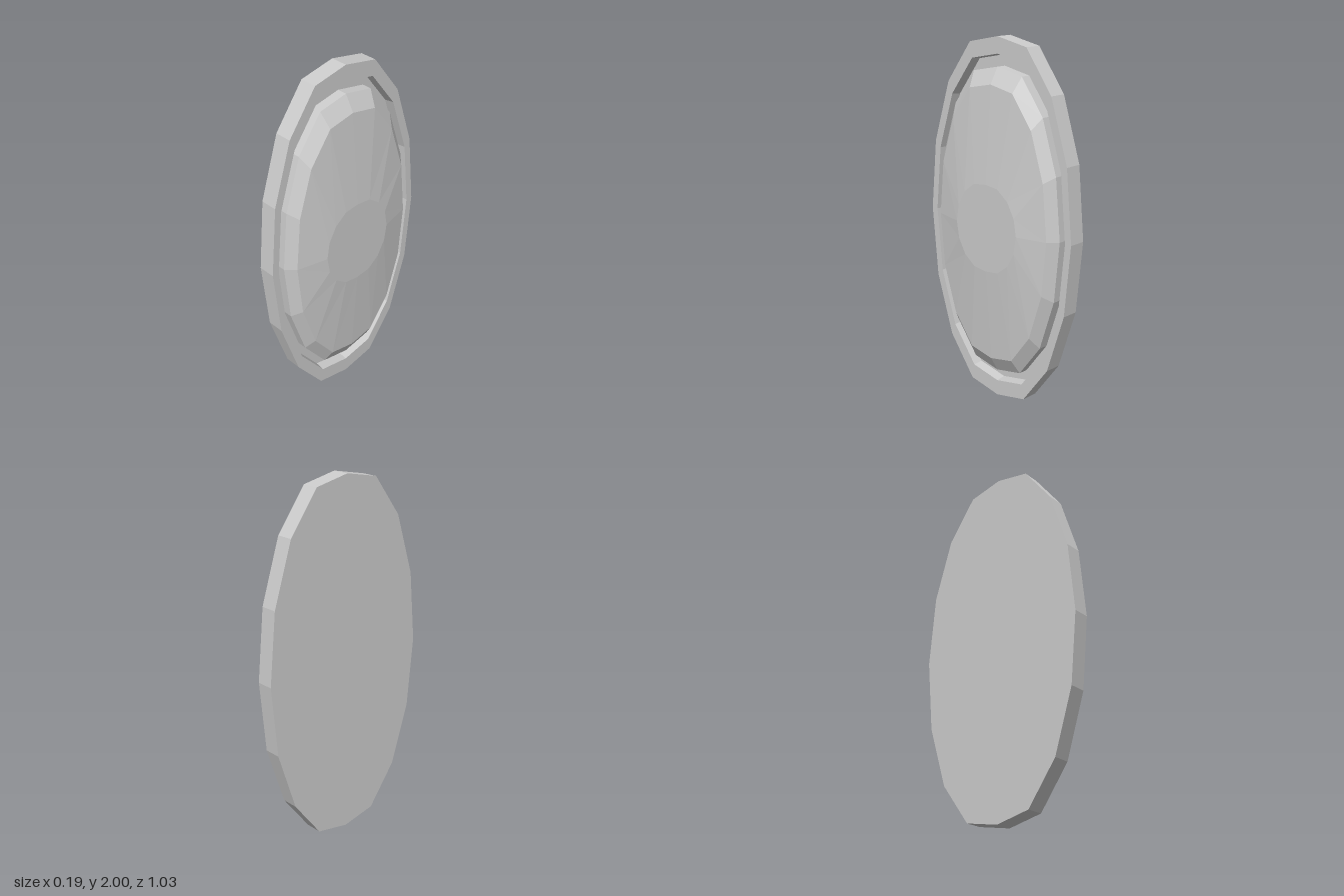
import * as THREE from 'three';

// One quarter of the faceted oval, as [z, y] at unit size
const QUARTER = [[0, 1], [0.388, 0.96], [0.715, 0.735], [0.927, 0.395], [1, 0]];
const OVAL = [
  ...QUARTER,
  ...QUARTER.slice(0, 4).reverse().map(([z, y]) => [z, -y]),
  ...QUARTER.slice(1).map(([z, y]) => [-z, -y]),
  ...QUARTER.slice(1, 4).reverse().map(([z, y]) => [-z, y]),
];

// Skins a run of oval sections, each [x, half width, half height]
function ovalShell(name, sections, material) {
  const n = OVAL.length;
  const points = [];
  const point = ([x, w, h], i) => [x, 1 + OVAL[i % n][1] * h, OVAL[i % n][0] * w];
  for (let s = 0; s < sections.length - 1; s++) {
    const a = sections[s], b = sections[s + 1];
    for (let i = 0; i < n; i++) {
      const a0 = point(a, i), a1 = point(a, i + 1);
      const b0 = point(b, i), b1 = point(b, i + 1);
      if (a[1] > 0) points.push(...a0, ...a1, ...b1);
      if (b[1] > 0) points.push(...a0, ...b1, ...b0);
    }
  }
  const geometry = new THREE.BufferGeometry();
  geometry.setAttribute('position', new THREE.Float32BufferAttribute(points, 3));
  geometry.computeVertexNormals();
  const mesh = new THREE.Mesh(geometry, material);
  mesh.name = name;
  return mesh;
}

export function createModel() {
  const model = new THREE.Group();
  model.name = 'ovalShield';
  const material = new THREE.MeshStandardMaterial({ color: 0xcccccc, flatShading: true });

  // Flat back, outer edge, front rim and the recess inside it
  model.add(ovalShell('rim', [
    [-0.095, 0, 0],
    [-0.095, 0.515, 1],
    [0, 0.515, 1],
    [0, 0.475, 0.912],
    [-0.055, 0.47, 0.905],
    [-0.055, 0.44, 0.846],
  ], material));

  // Raised panel: upright skirt, bevel, shallow slope and flat middle
  model.add(ovalShell('domedPanel', [
    [-0.055, 0.44, 0.846],
    [0, 0.44, 0.846],
    [0.05, 0.393, 0.76],
    [0.09, 0.22, 0.24],
    [0.09, 0, 0],
  ], material));

  return model;
}
